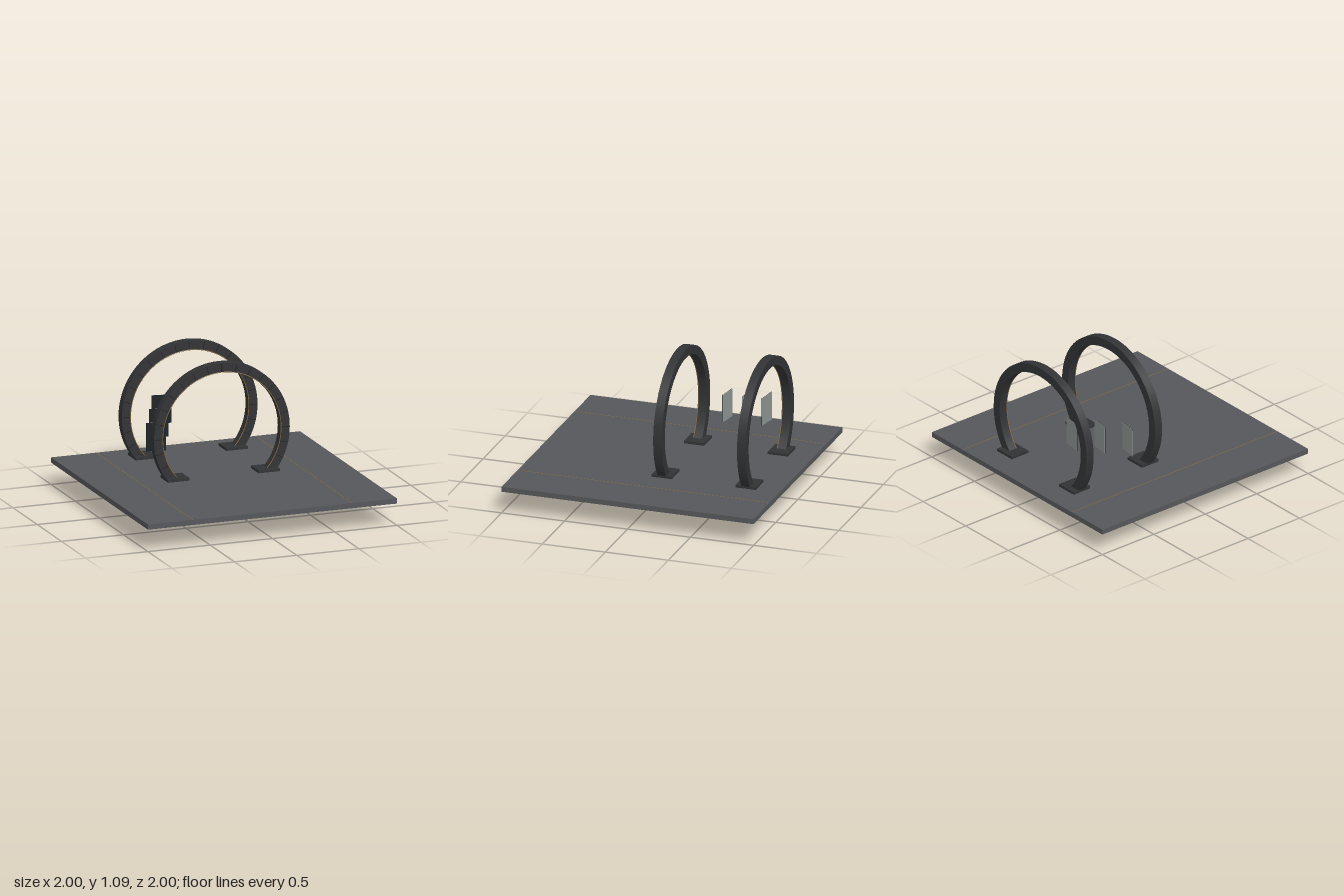
import * as THREE from 'three';

const mat = (color) => new THREE.MeshStandardMaterial({ color });
const stone = mat(0x56575a), dark = mat(0x323335), black = mat(0x1c1d1f);
const gold = mat(0x8a6d3b), glass = mat(0x182024), plate = mat(0x8c9492);

function add(parent, name, geometry, material, x = 0, y = 0, z = 0) {
  const mesh = new THREE.Mesh(geometry, material);
  mesh.name = name;
  mesh.position.set(x, y, z);
  parent.add(mesh);
  return mesh;
}
const box = (w, h, d) => new THREE.BoxGeometry(w, h, d);

const OUTER = 0.545, INNER = 0.475, DEPTH = 0.068, SEAMS = 28;

// Upright hoop with a square section, front seams, gold inner trim and two feet
function createGate(z) {
  const gate = new THREE.Group();
  gate.name = 'ringGate';
  gate.position.set(0, OUTER, z);

  // closed rectangular profile turned around the hoop's axis, with hard edges
  const h = DEPTH / 2;
  const corners = [[INNER, -h], [OUTER, -h], [OUTER, h], [INNER, h]];
  corners.forEach((c, i) => {
    const next = corners[(i + 1) % 4];
    const side = new THREE.LatheGeometry([new THREE.Vector2(...c), new THREE.Vector2(...next)], 96);
    side.rotateX(Math.PI / 2);
    add(gate, 'hoopFace', side, dark);
  });

  // narrow seams dividing the front face into segments
  const mid = (OUTER + INNER) / 2;
  for (let i = 0; i < SEAMS; i++) {
    const a = Math.PI / 2 + (i / SEAMS) * Math.PI * 2;
    const seam = add(gate, 'segmentSeam', box(0.062, 0.004, 0.004), black,
      Math.cos(a) * mid, Math.sin(a) * mid, h + 0.001);
    seam.rotation.z = a;
  }

  // thin gold line around the inner front edge
  add(gate, 'innerTrim', new THREE.TorusGeometry(INNER, 0.003, 6, 96), gold, 0, 0, h + 0.001);

  for (const s of [-1, 1])
    add(gate, 'footPad', box(0.172, 0.02, 0.16), dark, s * 0.363, 0.228 - OUTER, 0);
  return gate;
}

// Floating screen: dark glass in front, pale plate behind
function createScreen(x, y, z) {
  const screen = new THREE.Group();
  screen.name = 'floatingScreen';
  screen.position.set(x, y, z);
  screen.rotation.y = -0.16;
  add(screen, 'screenBack', box(0.15, 0.22, 0.003), plate, 0, 0, -0.0015);
  add(screen, 'screenGlass', box(0.15, 0.22, 0.003), glass, 0, 0, 0.0015);
  return screen;
}

export function createModel() {
  const model = new THREE.Group();
  model.name = 'gatePlatform';

  // square deck with two inlaid guide lines
  add(model, 'deck', box(2, 0.04, 2), stone, 0, 0.19, 0);
  for (const s of [-1, 1])
    add(model, 'guideLine', box(0.004, 0.002, 2), gold, s * 0.64, 0.21, 0);

  for (const z of [-0.077, -0.742]) model.add(createGate(z));

  // row of screens stepping up and inward towards the back
  for (let i = 0; i < 3; i++)
    model.add(createScreen(-0.435 + i * 0.0965, 0.5 + i * 0.048, -0.285 - i * 0.191));
  return model;
}
